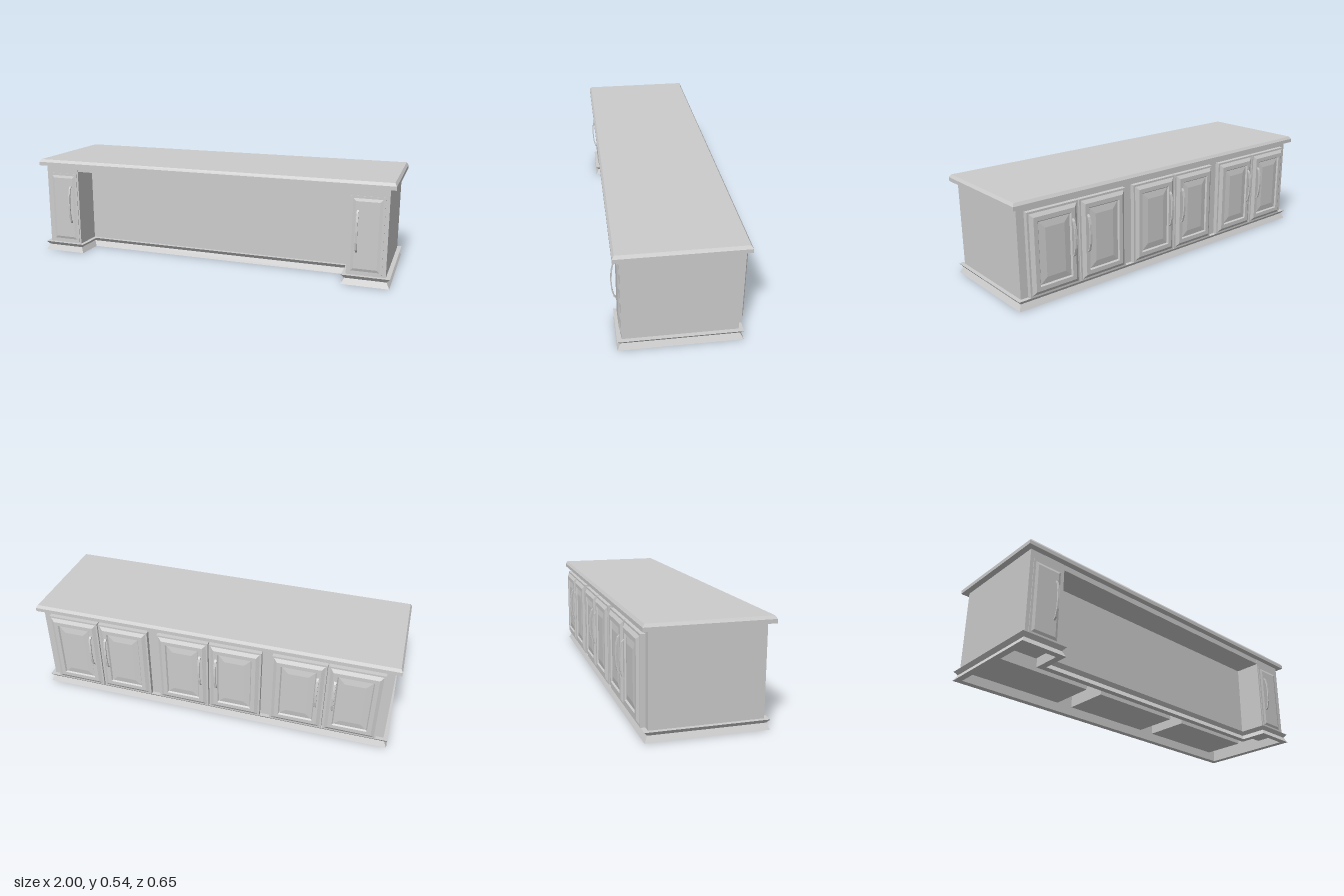
import * as THREE from 'three';

const material = new THREE.MeshStandardMaterial({ color: 0xcccccc, side: THREE.DoubleSide });

function add(parent, name, geometry, x = 0, y = 0, z = 0) {
  const mesh = new THREE.Mesh(geometry, material);
  mesh.name = name;
  mesh.position.set(x, y, z);
  parent.add(mesh);
  return mesh;
}

// Box given by its min and max corners
function addBox(parent, name, [x0, y0, z0], [x1, y1, z1]) {
  const box = new THREE.BoxGeometry(x1 - x0, y1 - y0, z1 - z0);
  return add(parent, name, box, (x0 + x1) / 2, (y0 + y1) / 2, (z0 + z1) / 2);
}

// Sweep a profile of [offset, height] around an outline of [x, z, outwardX, outwardZ] with mitred corners
function sweep(outline, profile, closed) {
  const positions = [];
  const at = (i, j) => {
    const [x, z, dx, dz] = outline[i % outline.length];
    const [offset, y] = profile[j % profile.length];
    return [x + dx * offset, y, z + dz * offset];
  };
  const steps = closed ? profile.length : profile.length - 1;
  for (let i = 0; i < outline.length; i++) {
    for (let j = 0; j < steps; j++) {
      const a = at(i, j), b = at(i, j + 1), c = at(i + 1, j + 1), d = at(i + 1, j);
      positions.push(...a, ...b, ...c, ...a, ...c, ...d);
    }
  }
  const geometry = new THREE.BufferGeometry();
  geometry.setAttribute('position', new THREE.Float32BufferAttribute(positions, 3));
  geometry.computeVertexNormals();
  return geometry;
}

const rectangle = (w, d) => [
  [w / 2, -d / 2, 1, -1], [w / 2, d / 2, 1, 1], [-w / 2, d / 2, -1, 1], [-w / 2, -d / 2, -1, -1],
];

// Moulded door: steps of [inset, height], facing +z
function doorGeometry(w, h, steps) {
  const profile = steps.map(([inset, height]) => [-inset, height]);
  profile.push([-Math.min(w, h) / 2, steps[steps.length - 1][1]]);
  return sweep(rectangle(w, h), profile, false).rotateX(Math.PI / 2);
}

// Bowed flat-bar handle, upright, bulging toward +z
function handleGeometry(length, bulge, width) {
  const shape = new THREE.Shape();
  const n = 6, thickness = 0.007;
  const arc = (t, half, rise) => [Math.sin(Math.PI * t) * rise, -half * Math.cos(Math.PI * t)];
  for (let i = 0; i <= n; i++) {
    const [x, y] = arc(i / n, length / 2, bulge);
    if (i) shape.lineTo(x, y); else shape.moveTo(x, y);
  }
  for (let i = n; i >= 0; i--) shape.lineTo(...arc(i / n, length / 2 - 0.008, bulge - thickness));
  const geometry = new THREE.ExtrudeGeometry(shape, { depth: width, bevelEnabled: false });
  return geometry.translate(0, 0, -width / 2).rotateY(-Math.PI / 2);
}

export function createModel() {
  const model = new THREE.Group();
  model.name = 'desk';

  // U-shaped plan with two front pedestals and a knee recess
  const plan = [
    [0.97, -0.265, 1, -1], [0.97, 0.293, 1, 1], [0.77, 0.293, -1, 1], [0.77, 0.14, -1, 1],
    [-0.77, 0.14, 1, 1], [-0.77, 0.293, 1, 1], [-0.97, 0.293, -1, 1], [-0.97, -0.265, -1, -1],
  ];
  add(model, 'bodyWalls', sweep(plan, [[-0.012, 0.05], [0, 0.05], [0, 0.505], [-0.012, 0.505]], true));
  add(model, 'baseMoulding', sweep(plan,
    [[-0.012, 0], [0.022, 0], [0.006, 0.03], [0.022, 0.05], [-0.012, 0.05]], true));

  // Countertop with a chamfered upper edge
  add(model, 'countertop', sweep(rectangle(2, 0.622),
    [[-0.311, 0.505], [0, 0.505], [0, 0.525], [-0.01, 0.54], [-0.311, 0.54]], false), 0, 0, 0.014);
  addBox(model, 'recessHeader', [-0.77, 0.475, 0.14], [0.77, 0.505, 0.292]);

  // Rear cabinets, each with a pair of doors
  const rearDoor = doorGeometry(0.288, 0.43, [
    [0, 0], [0, 0.024], [0.01, 0.024], [0.028, 0.036], [0.05, 0.036], [0.056, 0.028], [0.09, 0.034],
  ]);
  const rearHandle = handleGeometry(0.2, 0.026, 0.012);
  for (const x of [-0.638, 0, 0.638]) {
    addBox(model, 'cabinetBox', [x - 0.27, 0.05, -0.254], [x + 0.27, 0.48, 0]);
    const doors = new THREE.Group();
    doors.name = 'rearDoorPair';
    doors.position.set(x, 0, -0.265);
    doors.rotation.y = Math.PI;
    for (const side of [-1, 1]) {
      add(doors, 'rearDoor', rearDoor, side * 0.147, 0.265, 0);
      add(doors, 'rearHandle', rearHandle, side * 0.045, 0.3, 0.034);
    }
    model.add(doors);
  }

  // Front pedestals, each with one narrow door
  const frontDoor = doorGeometry(0.17, 0.4, [[0, 0], [0, 0.003], [0.012, 0.003], [0.026, 0.008]]);
  const frontHandle = handleGeometry(0.22, 0.027, 0.01);
  for (const side of [-1, 1]) {
    const [x0, x1] = side > 0 ? [0.782, 0.958] : [-0.958, -0.782];
    addBox(model, 'pedestalBox', [x0, 0.05, 0.12], [x1, 0.5, 0.281]);
    add(model, 'frontDoor', frontDoor, side * 0.865, 0.26, 0.293);
    add(model, 'frontHandle', frontHandle, side * 0.818, 0.28, 0.3);
  }
  return model;
}
